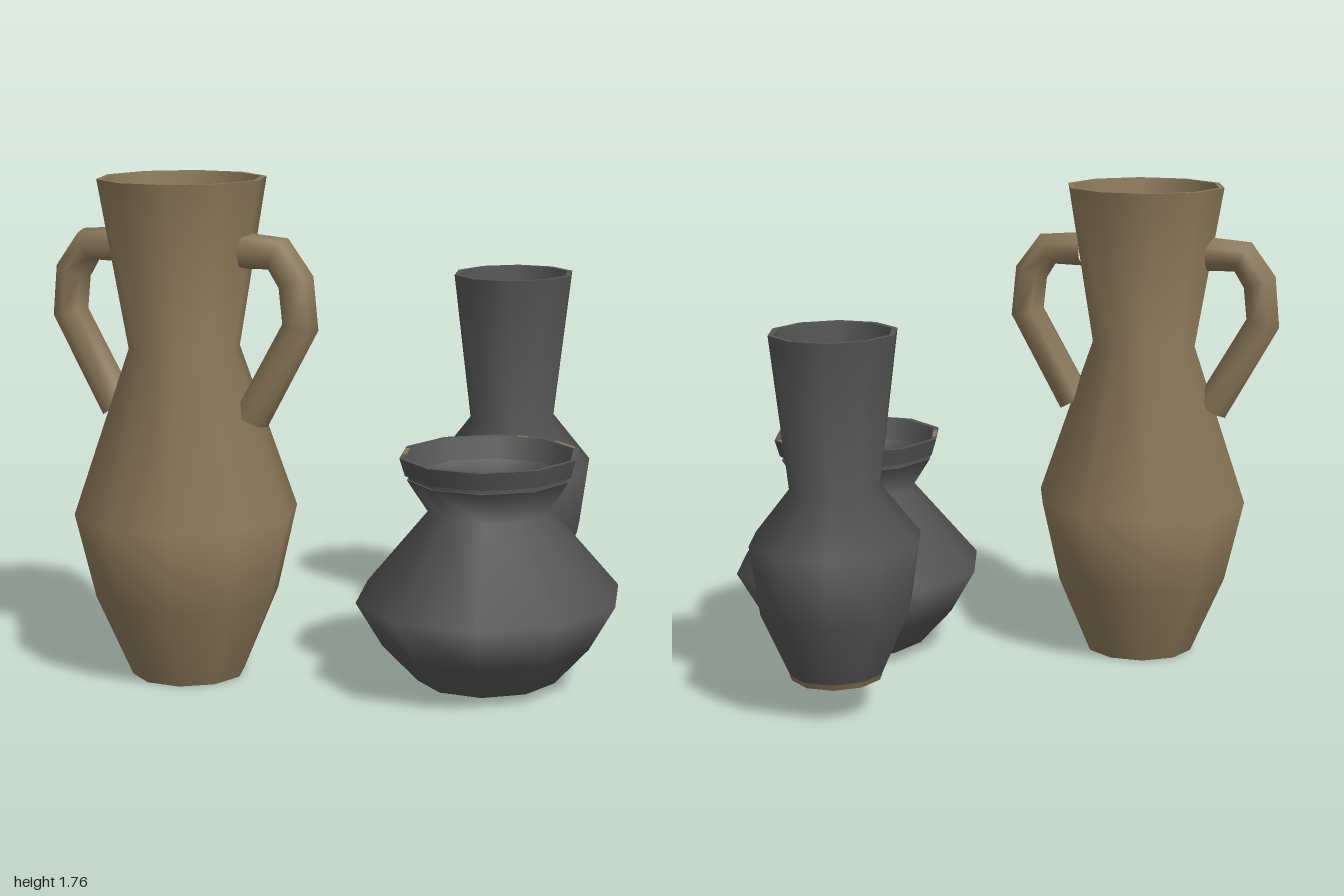
import * as THREE from 'three';

const SIDES = 10;

// Curve that steps straight through its points, one tube ring per point
class Polyline extends THREE.Curve {
  constructor(points) {
    super();
    this.points = points;
  }
  getPointAt(u) {
    const n = this.points.length - 1;
    const i = Math.min(Math.floor(u * n + 1e-6), n - 1);
    return this.points[i].clone().lerp(this.points[i + 1], u * n - i);
  }
  getPoint(t) { return this.getPointAt(t); }
  getTangentAt(u) {
    const n = this.points.length - 1;
    const i = Math.round(u * n);
    const a = this.points[Math.max(i - 1, 0)], b = this.points[Math.min(i + 1, n)];
    const before = this.points[i].clone().sub(a).normalize();
    const after = b.clone().sub(this.points[i]).normalize();
    return before.add(after).normalize();
  }
}

export function createModel() {
  const clay = new THREE.MeshStandardMaterial({ color: 0x8b7859 });
  clay.name = 'brown clay';
  const charcoal = new THREE.MeshStandardMaterial({ color: 0x545454 });
  charcoal.name = 'charcoal glaze';

  const model = new THREE.Group();

  function add(parent, name, geometry, material) {
    const mesh = new THREE.Mesh(geometry, material);
    mesh.name = name;
    parent.add(mesh);
    return mesh;
  }

  // One smooth ten-sided band, with [radius, height] points
  function band(parent, name, profile, material) {
    const points = profile.map(([r, y]) => new THREE.Vector2(r, y));
    return add(parent, name, new THREE.LatheGeometry(points, SIDES, Math.PI / 2), material);
  }

  // Hollow vessel: outer wall, flat rim, inner wall with floor, and base
  function vessel(name, x, z, zScale, outer, material, baseMaterial = material) {
    const wall = 0.02;
    const group = new THREE.Group();
    group.name = name;
    group.position.set(x, 0, z);
    group.scale.z = zScale;
    const [baseR, baseY] = outer[0];
    const [rimR, rimY] = outer[outer.length - 1];
    band(group, 'outerWall', outer, material);
    band(group, 'rim', [[rimR, rimY], [rimR - wall, rimY]], material);
    const inner = outer.map(([r, y], i) => [r - wall, i === 0 ? y + 0.03 : y]).reverse();
    band(group, 'innerWall', inner, material);
    band(group, 'floor', [[baseR - wall, baseY + 0.03], [0, baseY + 0.03]], material);
    band(group, 'base', [[0, baseY], [baseR, baseY]], baseMaterial);
    model.add(group);
    return group;
  }

  // Tall two-handled vase
  const tall = vessel('tallVase', -0.495, 0.51, 1,
    [[0.2, 0], [0.325, 0.29], [0.395, 0.59], [0.195, 1.17], [0.295, 1.76]], clay);
  for (const side of [1, -1]) {
    const path = [[0.24, 1.517], [0.37, 1.512], [0.435, 1.42], [0.45, 1.27], [0.262, 0.94]]
      .map(([x, y]) => new THREE.Vector3(side * x, y, 0.005));
    add(tall, side > 0 ? 'leftHandle' : 'rightHandle',
      new THREE.TubeGeometry(new Polyline(path), path.length - 1, 0.064, 7), clay);
  }

  // Slim vase with a bare clay foot
  const slim = vessel('slimVase', 0.3225, -0.567, 1.115,
    [[0.156, 0.125], [0.265, 0.375], [0.3, 0.62], [0.158, 0.8], [0.2225, 1.345]], charcoal, clay);
  band(slim, 'bareFoot', [[0.158, 0.125], [0.168, 0.147]], clay);

  // Squat pot with a thin groove under its lip
  const squat = vessel('squatPot', 0.5325, 0.21, 1.114,
    [[0.247, 0.025], [0.37, 0.16], [0.4625, 0.32], [0.21, 0.62], [0.287, 0.742]], charcoal);
  band(squat, 'grooveLower', [[0.287, 0.742], [0.279, 0.742]], charcoal);
  band(squat, 'groove', [[0.279, 0.742], [0.279, 0.757]], charcoal);
  band(squat, 'grooveUpper', [[0.279, 0.757], [0.294, 0.757]], charcoal);
  band(squat, 'lip', [[0.294, 0.757], [0.313, 0.82]], charcoal);
  band(squat, 'lipTop', [[0.313, 0.82], [0.293, 0.82]], charcoal);
  band(squat, 'lipInside', [[0.293, 0.82], [0.267, 0.742]], charcoal);

  // Bare clay chips on the pot's lip: [edge angle, offset along edge, length]
  for (const [degrees, offset, length] of [[90, 0, 0.04], [54, -0.02, 0.12], [198, -0.01, 0.09]]) {
    const holder = new THREE.Group();
    holder.name = 'chip';
    holder.rotation.y = THREE.MathUtils.degToRad(degrees);
    const chip = add(holder, 'chipPlate', new THREE.BoxGeometry(0.014, 0.004, length), clay);
    chip.position.set(0.288, 0.82, -offset);
    squat.add(holder);
  }

  return model;
}
